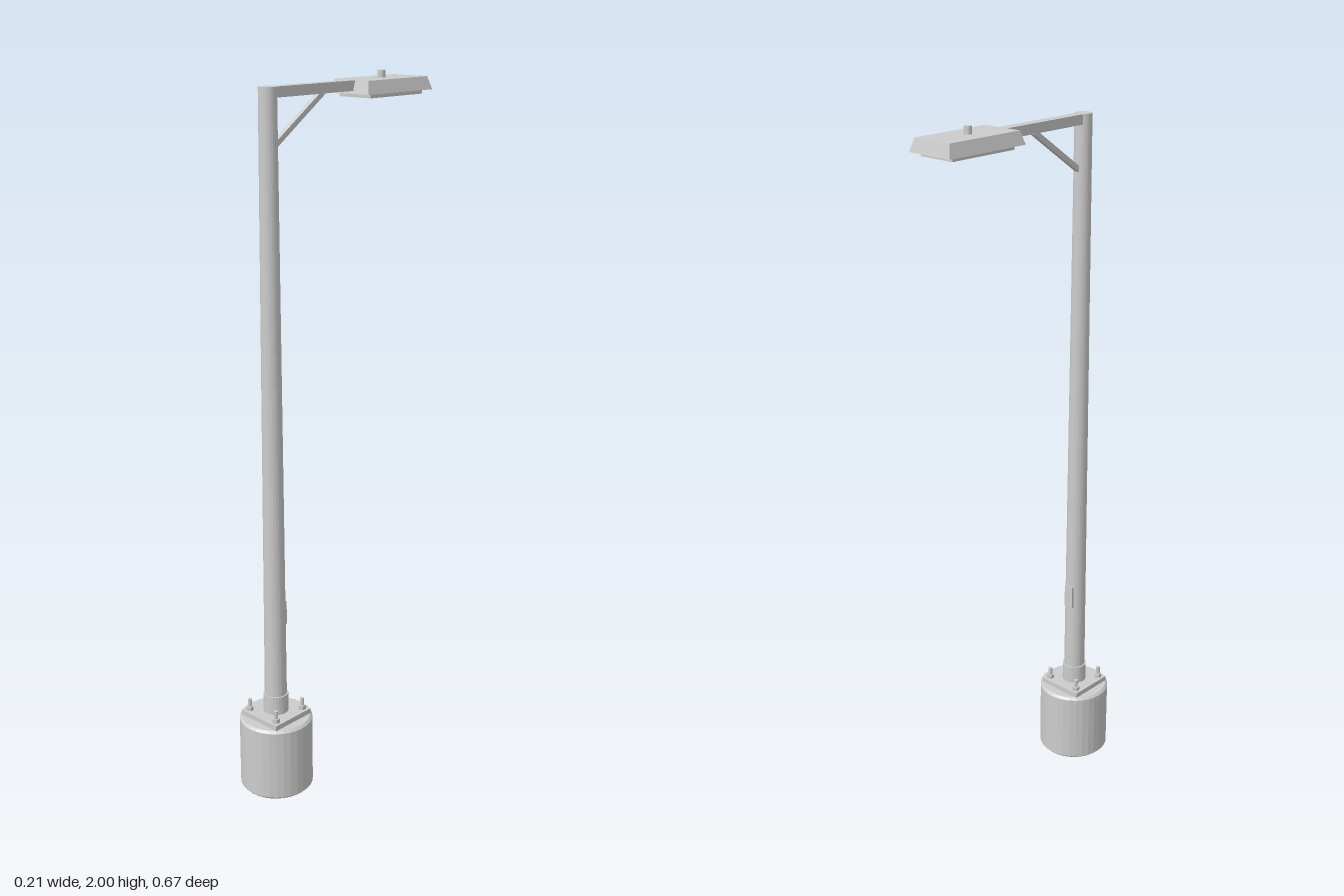
import * as THREE from 'three';

const POLE_Z = 0.228, LAMP_Z = -0.205;

export function createModel() {
  const model = new THREE.Group();
  model.name = 'streetLight';
  const grey = new THREE.MeshStandardMaterial({ color: 0xcccccc, flatShading: true });
  grey.name = 'light grey';

  function add(name, geometry, x, y, z) {
    const mesh = new THREE.Mesh(geometry, grey);
    mesh.name = name;
    mesh.position.set(x, y, z);
    model.add(mesh);
    return mesh;
  }
  const box = (w, h, d) => new THREE.BoxGeometry(w, h, d);
  const cyl = (top, bottom, h, sides) => new THREE.CylinderGeometry(top, bottom, h, sides);

  // Round footing with bevelled rims
  const profile = [[0, 0], [0.098, 0], [0.105, 0.007], [0.105, 0.213], [0.098, 0.22], [0, 0.22]];
  add('footing', new THREE.LatheGeometry(profile.map(([r, y]) => new THREE.Vector2(r, y)), 32), 0, 0, POLE_Z);

  // Base plate, collar and anchor bolts
  add('basePlate', box(0.141, 0.015, 0.141), 0, 0.2275, POLE_Z);
  add('collar', cyl(0.036, 0.036, 0.055, 24), 0, 0.2625, POLE_Z);
  for (const sx of [-1, 1]) {
    for (const sz of [-1, 1]) {
      const x = sx * 0.053, z = POLE_Z + sz * 0.053;
      add('nut', cyl(0.011, 0.011, 0.012, 6), x, 0.241, z);
      add('bolt', cyl(0.006, 0.006, 0.036, 12), x, 0.252, z);
    }
  }

  // Tapered pole with an access cover on its back
  add('pole', cyl(0.024, 0.032, 1.745, 24), 0, 1.1075, POLE_Z);
  add('accessCover', box(0.03, 0.07, 0.012), 0, 0.535, POLE_Z - 0.027);

  // Arm and diagonal brace
  add('arm', box(0.029, 0.027, 0.328), 0, 1.966, 0.064);
  const from = new THREE.Vector3(0, 1.832, 0.21), to = new THREE.Vector3(0, 1.955, 0.03);
  const brace = add('brace', box(0.014, 0.014, from.distanceTo(to)), 0, 0, 0);
  brace.position.copy(from).lerp(to, 0.5);
  brace.lookAt(to);

  // Lamp head, with its top face drawn in
  const head = box(0.141, 0.035, 0.264);
  const p = head.attributes.position;
  for (let i = 0; i < p.count; i++) {
    if (p.getY(i) > 0) {
      p.setX(i, Math.sign(p.getX(i)) * 0.06);
      p.setZ(i, Math.sign(p.getZ(i)) * 0.122);
    }
  }
  head.computeVertexNormals();
  add('lampHead', head, 0, 1.9625, LAMP_Z);
  add('lens', box(0.11, 0.012, 0.215), 0, 1.94, LAMP_Z);
  add('lightSensor', cyl(0.0105, 0.0105, 0.024, 16), 0, 1.988, LAMP_Z);

  return model;
}
